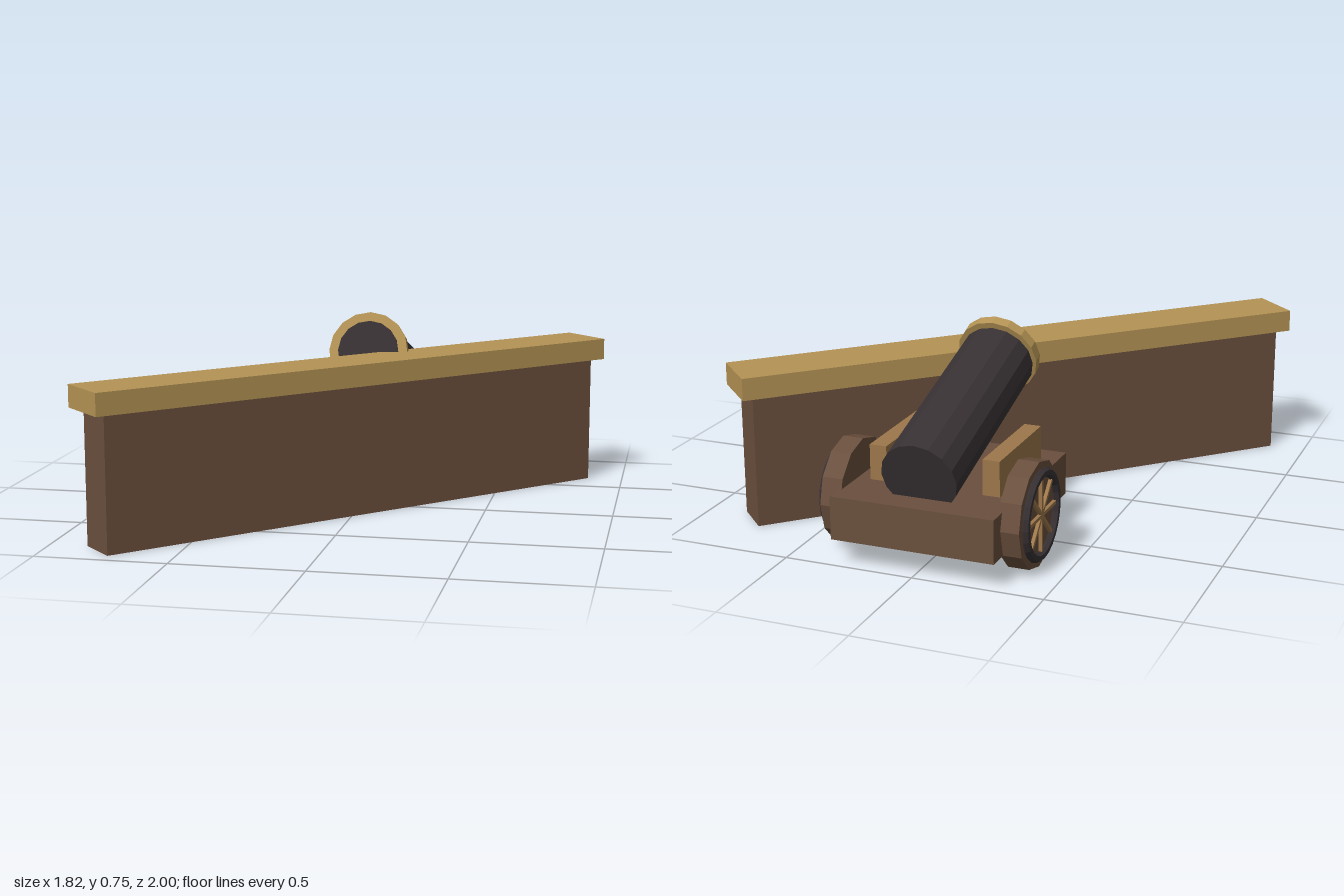
import * as THREE from 'three';

const mat = (name, color) => {
  const m = new THREE.MeshStandardMaterial({ color, flatShading: true });
  m.name = name;
  return m;
};

export function createModel() {
  const model = new THREE.Group();
  model.name = 'cannonBehindWall';

  const wood = mat('dark wood', 0x6a4f3d);
  const trim = mat('golden trim', 0xb49354);
  const paleWood = mat('pale wood', 0x9c774a);
  const iron = mat('black iron', 0x383134);

  const add = (parent, name, geometry, material, x = 0, y = 0, z = 0) => {
    const mesh = new THREE.Mesh(geometry, material);
    mesh.name = name;
    mesh.position.set(x, y, z);
    parent.add(mesh);
    return mesh;
  };
  const box = (w, h, d) => new THREE.BoxGeometry(w, h, d);

  // Diagonal wall with an overhanging rail
  const wall = new THREE.Group();
  wall.name = 'wall';
  wall.position.z = 0.085;
  wall.rotation.y = Math.PI / 4;
  model.add(wall);
  add(wall, 'wallPanel', box(2.26, 0.515, 0.165), wood, 0, 0.2575, 0);
  add(wall, 'wallRail', box(2.35, 0.086, 0.226), trim, 0, 0.558, 0);

  // Carriage bed
  add(model, 'carriageBed', box(0.63, 0.165, 0.735), wood, 0, 0.1825, -0.6325);

  // Barrel, tilted up towards the front
  const barrel = add(model, 'barrel',
    new THREE.CylinderGeometry(0.145, 0.145, 0.78, 16), iron, 0, 0.462, -0.55);
  barrel.rotation.x = Math.PI / 2 - 0.3;

  // Muzzle band with a dark bore
  const muzzle = new THREE.Group();
  muzzle.name = 'muzzle';
  muzzle.position.set(0, 0.602, -0.138);
  muzzle.rotation.x = Math.PI / 2 - 0.36;
  model.add(muzzle);
  add(muzzle, 'muzzleBand', new THREE.CylinderGeometry(0.16, 0.16, 0.042, 16), trim, 0, -0.021, 0);
  add(muzzle, 'bore', new THREE.CylinderGeometry(0.123, 0.123, 0.008, 16), iron, 0, 0.001, 0);

  // Cheeks and wheels, mirrored on both sides
  for (const side of [1, -1]) {
    const label = side > 0 ? 'left' : 'right';
    add(model, label + 'Cheek', box(0.066, 0.14, 0.415), paleWood, side * 0.221, 0.33, -0.5825);

    const wheel = new THREE.Group();
    wheel.name = label + 'Wheel';
    wheel.position.set(side * 0.345, 0.2, -0.74);
    wheel.rotation.z = -side * Math.PI / 2;
    model.add(wheel);
    add(wheel, 'wheelDisc', new THREE.CylinderGeometry(0.2, 0.2, 0.08, 12), wood);

    const tyre = add(wheel, 'wheelRing', new THREE.TorusGeometry(0.156, 0.018, 6, 24), iron, 0, 0.046, 0);
    tyre.rotation.x = Math.PI / 2;

    // Four crossed bars give eight spokes
    for (let i = 0; i < 4; i++) {
      const spoke = add(wheel, 'spoke', box(0.28, 0.016, 0.013), paleWood, 0, 0.045, 0);
      spoke.rotation.y = i * Math.PI / 4;
    }
  }
  return model;
}
